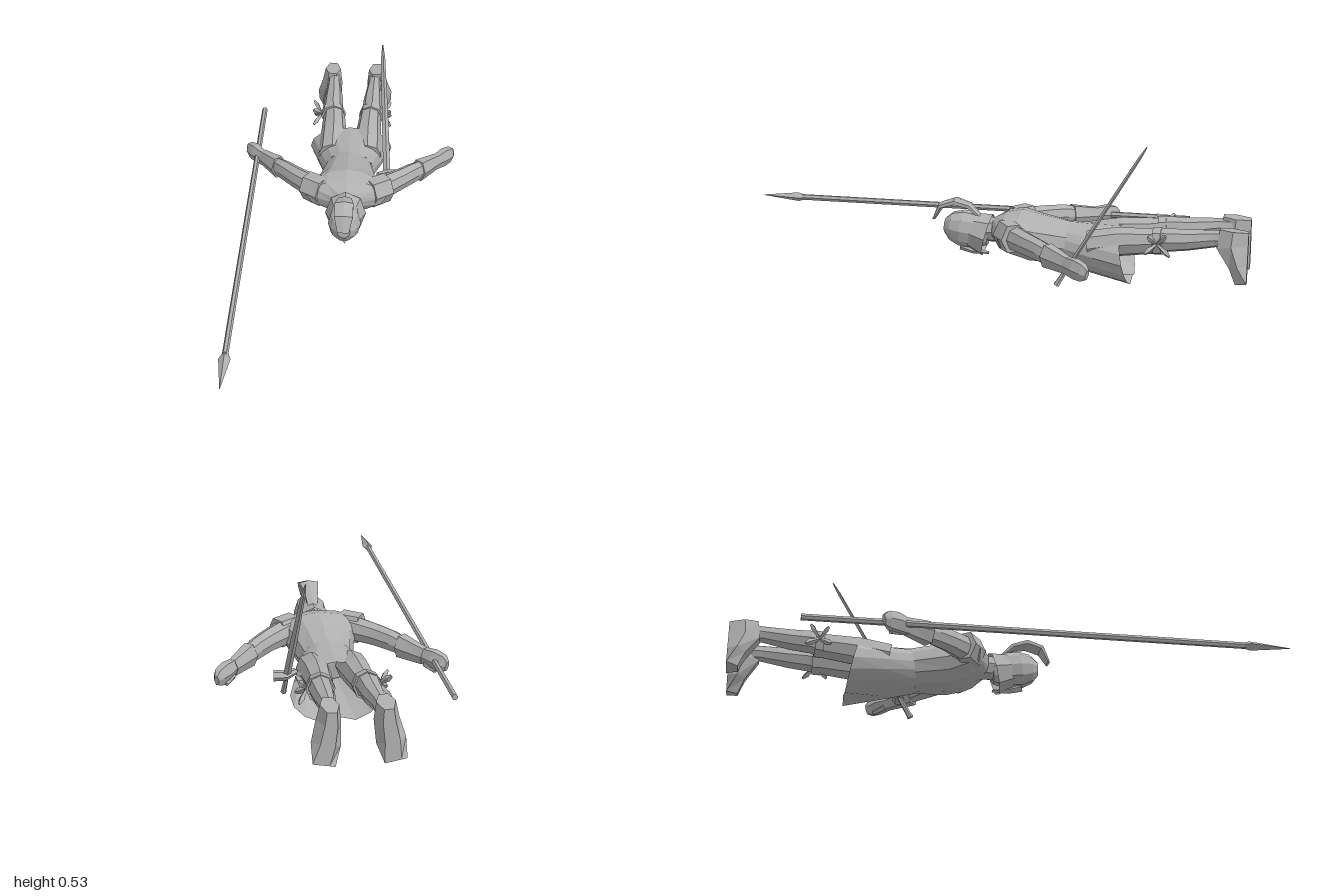
import * as THREE from 'three';

const steel = new THREE.MeshStandardMaterial({ color: 0xb0b0b0, flatShading: true, side: THREE.DoubleSide });
steel.name = 'plain grey';

const X = new THREE.Vector3(1, 0, 0), Y = new THREE.Vector3(0, 1, 0), Z = new THREE.Vector3(0, 0, 1);

// Loft of elliptical rings [x, y, z, half width, half height] along a path
function loft(name, rings, { sides = 8, up = Y, caps = true, phase = 0, rule } = {}) {
  const pts = rings.map(r => new THREE.Vector3(r[0], r[1], r[2]));
  const pos = [], index = [];
  rings.forEach((r, i) => {
    const t = pts[Math.min(i + 1, pts.length - 1)].clone().sub(pts[Math.max(i - 1, 0)]).normalize();
    const side = up.clone().cross(t).normalize();
    const top = t.clone().cross(side);
    for (let j = 0; j < sides; j++) {
      const a = (j + phase) / sides * Math.PI * 2;
      const p = pts[i].clone().addScaledVector(side, Math.cos(a) * r[3]).addScaledVector(top, Math.sin(a) * r[4]);
      if (rule) rule(p, i, j);
      pos.push(p.x, p.y, p.z);
      if (i < rings.length - 1) {
        const k = (j + 1) % sides, A = i * sides, B = A + sides;
        index.push(A + j, A + k, B + k, A + j, B + k, B + j);
      }
    }
  });
  if (caps) {
    const last = (rings.length - 1) * sides;
    for (let j = 1; j < sides - 1; j++) index.push(0, j + 1, j, last, last + j, last + j + 1);
  }
  const g = new THREE.BufferGeometry();
  g.setAttribute('position', new THREE.Float32BufferAttribute(pos, 3));
  g.setIndex(index);
  g.computeVertexNormals();
  const mesh = new THREE.Mesh(g, steel);
  mesh.name = name;
  return mesh;
}

export function createModel() {
  const model = new THREE.Group();
  model.name = 'proneWarrior';

  // Torso, lying face down with the head towards +z
  model.add(loft('torso', [
    [0, 0.18, -0.05, 0.05, 0.04],
    [0, 0.18, -0.095, 0.155, 0.065],
    [0, 0.175, -0.14, 0.145, 0.085],
    [0, 0.155, -0.21, 0.12, 0.09],
    [0, 0.14, -0.34, 0.093, 0.08],
  ], { sides: 12 }));

  // Flared skirt with a slanted hem, split at the front
  model.add(loft('skirt', [
    [0, 0.14, -0.33, 0.096, 0.082],
    [0, 0.125, -0.42, 0.13, 0.093],
    [0, 0.11, -0.515, 0.165, 0.107],
  ], {
    sides: 16, caps: false,
    rule: (p, i, j) => {
      if (i > 0) p.z += (p.y - 0.21) * 0.38 * i / 2;
      if (i === 2 && j === 12) p.y += 0.025;
    },
  }));

  // Head, helmet brim and crest
  model.add(loft('neck', [[0, 0.175, -0.09, 0.05, 0.05], [0, 0.17, 0, 0.042, 0.045]]));
  model.add(loft('helmet', [
    [0, 0.16, -0.03, 0.04, 0.05],
    [0, 0.165, 0.02, 0.058, 0.068],
    [0, 0.172, 0.075, 0.062, 0.07],
    [0, 0.178, 0.115, 0.05, 0.055],
    [0, 0.18, 0.14, 0.025, 0.028],
  ], { sides: 10 }));
  model.add(loft('cheekGuard', [
    [0, 0.165, 0.035, 0.06, 0.068],
    [0, 0.15, -0.025, 0.078, 0.085],
  ], { sides: 8, caps: false }));
  model.add(loft('noseGuard', [
    [0, 0.1, 0.08, 0.012, 0.015], [0, 0.085, 0.03, 0.012, 0.012], [0, 0.08, -0.03, 0.004, 0.005],
  ], { sides: 4 }));
  model.add(loft('crest', [
    [0, 0.22, 0.005, 0.008, 0.02],
    [0, 0.26, 0.045, 0.012, 0.03],
    [0, 0.275, 0.1, 0.014, 0.04],
    [0, 0.257, 0.155, 0.012, 0.04],
    [0, 0.205, 0.182, 0.006, 0.025],
  ], { sides: 6, up: X }));

  for (const s of [1, -1]) {
    const side = s > 0 ? 'left' : 'right';

    // Shoulder guard, arm, cuff and hand
    model.add(loft(side + 'ShoulderGuard', [
      [s * 0.09, 0.185, -0.11, 0.05, 0.06], [s * 0.155, 0.185, -0.155, 0.05, 0.058],
    ], { sides: 6 }));
    model.add(loft(side + 'Arm', [
      [s * 0.11, 0.185, -0.13, 0.045, 0.05],
      [s * 0.2, 0.18, -0.215, 0.036, 0.044],
      [s * 0.25, 0.175, -0.27, 0.032, 0.042],
      [s * 0.32, 0.16, -0.355, 0.023, 0.032],
    ]));
    model.add(loft(side + 'Cuff', [
      [s * 0.275, 0.168, -0.3, 0.036, 0.048], [s * 0.345, 0.157, -0.385, 0.023, 0.035],
    ], { sides: 6 }));
    model.add(loft(side + 'Hand', [
      [s * 0.335, 0.158, -0.37, 0.02, 0.032],
      [s * 0.375, 0.155, -0.42, 0.028, 0.04],
      [s * 0.4, 0.15, -0.45, 0.022, 0.036],
      [s * 0.41, 0.145, -0.465, 0.01, 0.022],
    ], { sides: 6 }));
    model.add(loft(side + 'Thumb', [
      [s * 0.345, 0.135, -0.4, 0.012, 0.015], [s * 0.375, 0.12, -0.44, 0.01, 0.01],
    ], { sides: 5 }));

    // Leg and foot
    model.add(loft(side + 'Leg', [
      [s * 0.07, 0.155, -0.42, 0.056, 0.055],
      [s * 0.07, 0.175, -0.53, 0.053, 0.055],
      [s * 0.075, 0.187, -0.67, 0.044, 0.047],
      [s * 0.082, 0.195, -0.7, 0.042, 0.045],
      [s * 0.082, 0.2, -0.78, 0.038, 0.04],
      [s * 0.085, 0.212, -0.88, 0.027, 0.032],
      [s * 0.088, 0.212, -0.95, 0.03, 0.035],
    ]));
    model.add(loft(side + 'Foot', [
      [s * 0.092, 0.248, -0.945, 0.032, 0.055],
      [s * 0.095, 0.19, -0.94, 0.042, 0.06],
      [s * 0.107, 0.12, -0.965, 0.05, 0.035],
      [s * 0.118, 0.06, -0.978, 0.038, 0.022],
    ], { sides: 6, up: Z, rule: p => { p.z = Math.max(p.z < -0.965 ? -1 : p.z, -1); } }));

    // Knotted band at the knee with loose leaf-shaped ends
    model.add(loft(side + 'KneeBand', [
      [s * 0.078, 0.188, -0.66, 0.05, 0.052], [s * 0.08, 0.19, -0.69, 0.05, 0.052],
    ]));
    for (const [dy, dz] of [[0.035, 0.03], [0.04, -0.035], [-0.03, 0.04], [-0.035, -0.05]]) {
      model.add(loft(side + 'KneeKnot', [
        [s * 0.125, 0.19, -0.675, 0.004, 0.004],
        [s * 0.148, 0.19 + dy * 0.7, -0.675 + dz * 0.7, 0.01, 0.012],
        [s * 0.158, 0.19 + dy, -0.675 + dz, 0.004, 0.006],
      ], { sides: 4 }));
    }
  }

  // Spear held in the right hand
  model.add(loft('spearShaft', [[-0.37, 0.155, -0.75, 0.011, 0.012], [-0.37, 0.155, 0.86, 0.011, 0.012]], { sides: 6 }));
  model.add(loft('spearHead', [
    [-0.37, 0.155, 0.82, 0.01, 0.01], [-0.37, 0.155, 0.85, 0.021, 0.018], [-0.37, 0.155, 1, 0.001, 0.001],
  ], { sides: 4 }));

  // Sword hanging at the left hip: hilt, guard and blade
  const along = (t, w, h) => [0.156 - 0.034 * t, 0.02 + 0.525 * t, -0.315 - 0.315 * t, w, h];
  model.add(loft('swordHilt', [along(0, 0.011, 0.012), along(0.03, 0.01, 0.01), along(0.17, 0.008, 0.008)], { sides: 6 }));
  model.add(loft('swordGuard', [
    [0.115, 0.112, -0.345, 0.014, 0.01], [0.155, 0.105, -0.365, 0.02, 0.018], [0.197, 0.105, -0.36, 0.024, 0.02],
  ], { sides: 6 }));
  model.add(loft('swordBlade', [
    along(0.16, 0.014, 0.007), along(0.5, 0.013, 0.007), along(0.92, 0.008, 0.006), along(1, 0.002, 0.002),
  ], { sides: 4 }));

  return model;
}
